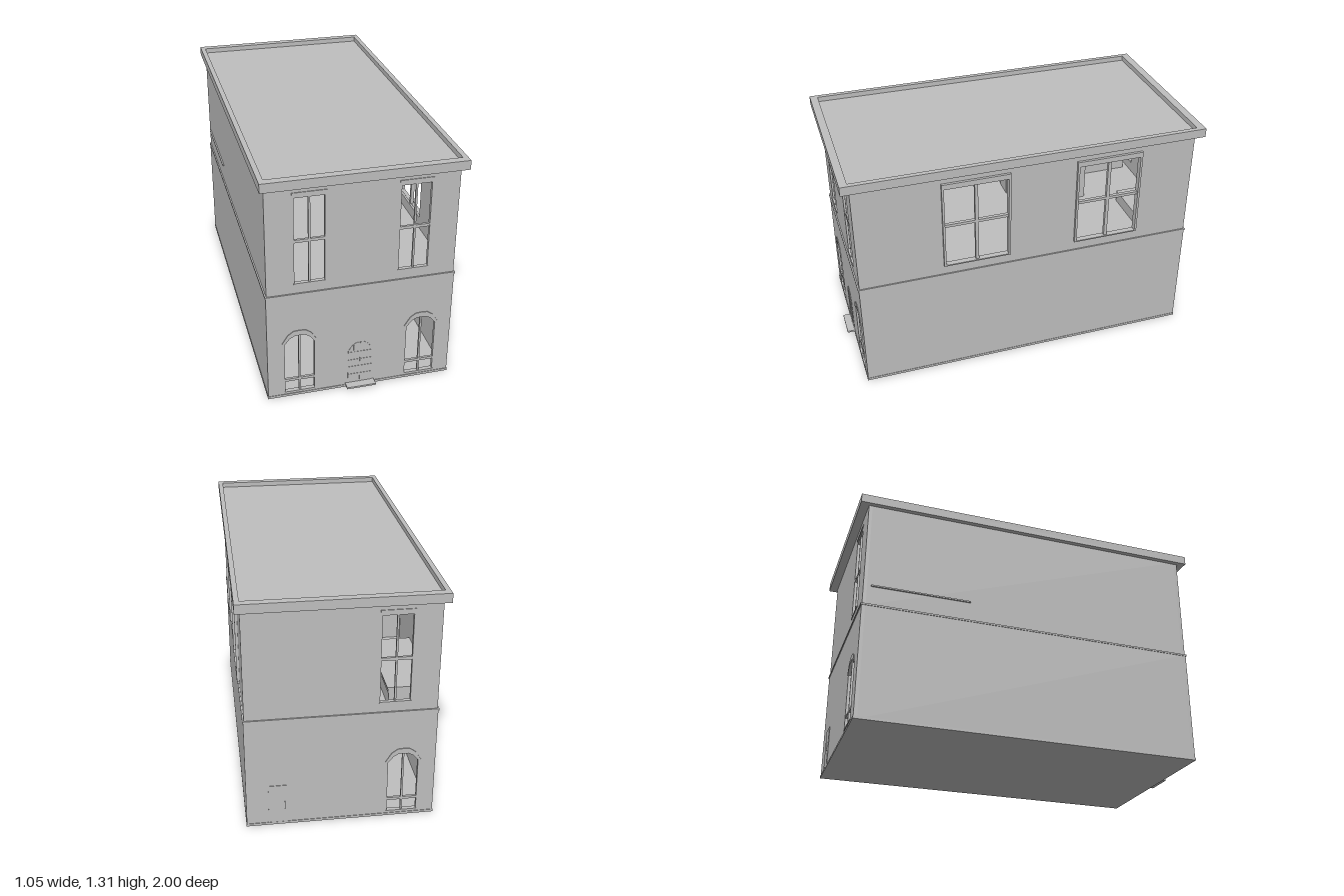
import * as THREE from 'three';

const T = 0.02; // wall thickness

export function createModel() {
  const plaster = new THREE.MeshStandardMaterial({ color: 0xbfbfbf });
  plaster.name = 'plaster grey';
  const model = new THREE.Group();
  model.name = 'townHouse';

  const add = (parent, name, geometry) => {
    const mesh = new THREE.Mesh(geometry, plaster);
    mesh.name = name;
    parent.add(mesh);
    return mesh;
  };
  // box from minimum and maximum corners
  const box = (parent, name, x0, x1, y0, y1, z0, z1) => {
    const g = new THREE.BoxGeometry(x1 - x0, y1 - y0, z1 - z0);
    g.translate((x0 + x1) / 2, (y0 + y1) / 2, (z0 + z1) / 2);
    return add(parent, name, g);
  };
  const rect = (x0, x1, y0, y1) => [[x0, y0], [x1, y0], [x1, y1], [x0, y1]];
  // opening with a faceted arched head
  const archHead = (x, w, spring, top) => {
    const r = top - spring;
    return [[0.5, 0], [0.33, 0.68], [0.17, 0.97], [0, 1], [-0.17, 0.97], [-0.33, 0.68], [-0.5, 0]]
      .map(([a, b]) => [x + a * w, spring + b * r]);
  };
  const arch = (x, w, y0, spring, top) =>
    [[x - w / 2, y0], [x + w / 2, y0], ...archHead(x, w, spring, top)];
  const toPoints = (list) => list.map(([x, y]) => new THREE.Vector2(x, y));
  const plate = (parent, name, outline, holes, z0, z1) => {
    const shape = new THREE.Shape(toPoints(outline));
    holes.forEach((h) => shape.holes.push(new THREE.Path(toPoints(h))));
    const g = new THREE.ExtrudeGeometry(shape, { depth: z1 - z0, bevelEnabled: false });
    g.translate(0, 0, z0);
    return add(parent, name, g);
  };

  // each side is built facing +z, then turned into place
  const side = (name, angle) => {
    const g = new THREE.Group();
    g.name = name;
    g.rotation.y = angle;
    model.add(g);
    return g;
  };

  // arched ground floor window: bars and hood
  const archWindow = (g, x, z) => {
    const w = 0.16;
    box(g, 'archMullion', x - 0.005, x + 0.005, 0.03, 0.389, z - 0.015, z - 0.002);
    box(g, 'archTransom', x - w / 2, x + w / 2, 0.095, 0.11, z - 0.015, z - 0.002);
    box(g, 'archSill', x - w / 2 - 0.005, x + w / 2 + 0.005, 0.022, 0.03, z - 0.015, z + 0.003);
    const outer = archHead(x, w + 0.03, 0.345, 0.42);
    const inner = archHead(x, w, 0.34, 0.39).reverse();
    plate(g, 'archHood', [...outer, ...inner], [], z - 0.002, z + 0.004);
  };
  // tall upper window: bars, sill and lintel
  const tallWindow = (g, x, z) => {
    const w = 0.157;
    box(g, 'mullion', x - 0.005, x + 0.005, 0.705, 1.19, z - 0.015, z - 0.002);
    box(g, 'transom', x - w / 2, x + w / 2, 0.94, 0.956, z - 0.015, z - 0.002);
    box(g, 'windowSill', x - w / 2 - 0.004, x + w / 2 + 0.004, 0.7, 0.707, z - 0.015, z + 0.004);
    box(g, 'lintel', x - w / 2 - 0.01, x + w / 2 + 0.01, 1.208, 1.22, z - 0.002, z + 0.004);
  };

  // front and back walls
  const endWall = (name, angle, arches, talls) => {
    const g = side(name, angle);
    plate(g, 'lowerWall', rect(-0.5025, 0.5025, 0, 0.64),
      arches.map((x) => arch(x, 0.16, 0.03, 0.34, 0.39)), 0.955 - T, 0.955);
    plate(g, 'upperWall', rect(-0.4985, 0.4985, 0.64, 1.27),
      talls.map((x) => rect(x - 0.0785, x + 0.0785, 0.705, 1.19)), 0.952 - T, 0.952);
    arches.forEach((x) => archWindow(g, x, 0.955));
    talls.forEach((x) => tallWindow(g, x, 0.952));
    return g;
  };
  const front = endWall('frontWall', 0, [-0.33, 0.335], [-0.274, 0.272]);
  const back = endWall('backWall', Math.PI, [0.33], [0.274]);

  // front door with plank and rail relief, and its step
  plate(front, 'frontDoor', arch(0, 0.132, 0.02, 0.235, 0.285), [], 0.953, 0.957);
  [0.08, 0.13, 0.175, 0.225].forEach((y) =>
    box(front, 'doorRail', -0.066, 0.066, y - 0.0015, y + 0.0015, 0.955, 0.959));
  box(front, 'doorStile', -0.0015, 0.0015, 0.13, 0.284, 0.955, 0.959);
  [[-0.035, 0.13, 0.175], [0.04, 0.08, 0.13], [0, 0.025, 0.08], [-0.035, 0.225, 0.27]].forEach(
    ([x, y0, y1]) => box(front, 'doorPlank', x - 0.0015, x + 0.0015, y0, y1, 0.955, 0.959));
  box(front, 'doorStep', -0.08, 0.08, 0.015, 0.025, 0.95, 1);

  // back door, seen from outside and inside
  box(back, 'backDoor', -0.385, -0.285, 0.015, 0.245, 0.955 - T - 0.003, 0.958);
  box(back, 'backDoorHandle', -0.302, -0.295, 0.1, 0.145, 0.957, 0.964);

  // long side walls; only the left one has windows
  const longWall = (name, angle, windows) => {
    const g = side(name, angle);
    plate(g, 'lowerWall', rect(-0.935, 0.935, 0, 0.64), [], 0.5025 - T, 0.5025);
    plate(g, 'upperWall', rect(-0.932, 0.932, 0.64, 1.27),
      windows.map((u) => rect(u - 0.176, u + 0.176, 0.71, 1.19)), 0.4985 - T, 0.4985);
    windows.forEach((u) => {
      plate(g, 'windowFrame', rect(u - 0.188, u + 0.188, 0.705, 1.22),
        [rect(u - 0.176, u + 0.176, 0.712, 1.19)], 0.49, 0.513);
      box(g, 'mullion', u - 0.009, u + 0.009, 0.71, 1.19, 0.485, 0.504);
      box(g, 'transom', u - 0.176, u + 0.176, 0.95, 0.966, 0.485, 0.504);
    });
  };
  longWall('leftWall', Math.PI / 2, [-0.2975, 0.4525]);
  longWall('rightWall', -Math.PI / 2, []);

  // floors, base and string course
  box(model, 'groundFloor', -0.505, 0.505, 0, 0.014, -0.958, 0.958);
  box(model, 'stringCourse', -0.506, 0.506, 0.638, 0.648, -0.96, 0.96);

  // roof deck and overhanging parapet
  box(model, 'roofDeck', -0.505, 0.505, 1.262, 1.282, -0.96, 0.96);
  const parapet = plate(model, 'parapet', rect(-0.525, 0.525, -1, 1),
    [rect(-0.498, 0.498, -0.957, 0.957)], 0, 0.05);
  parapet.rotation.x = -Math.PI / 2;
  parapet.position.y = 1.26;

  // upstairs partition with door, and simple furniture
  const rooms = new THREE.Group();
  rooms.name = 'upperRooms';
  model.add(rooms);
  box(rooms, 'partition', -0.48, 0.0, 0.648, 1.262, -0.11, -0.09);
  box(rooms, 'innerDoor', -0.29, -0.18, 0.648, 0.875, -0.114, -0.086);
  box(rooms, 'bedBase', -0.47, -0.25, 0.648, 0.73, -0.9, -0.38);
  box(rooms, 'bedTop', -0.507, -0.24, 0.755, 0.763, -0.91, -0.36);
  box(rooms, 'mattress', -0.465, -0.245, 0.73, 0.756, -0.905, -0.365);
  box(rooms, 'wardrobe', -0.12, 0, 0.648, 0.92, -0.53, -0.46);
  box(rooms, 'benchSeat', 0.1, 0.45, 0.648, 0.715, -0.92, -0.7);
  box(rooms, 'benchBack', 0.1, 0.45, 0.715, 0.79, -0.925, -0.87);
  return model;
}
